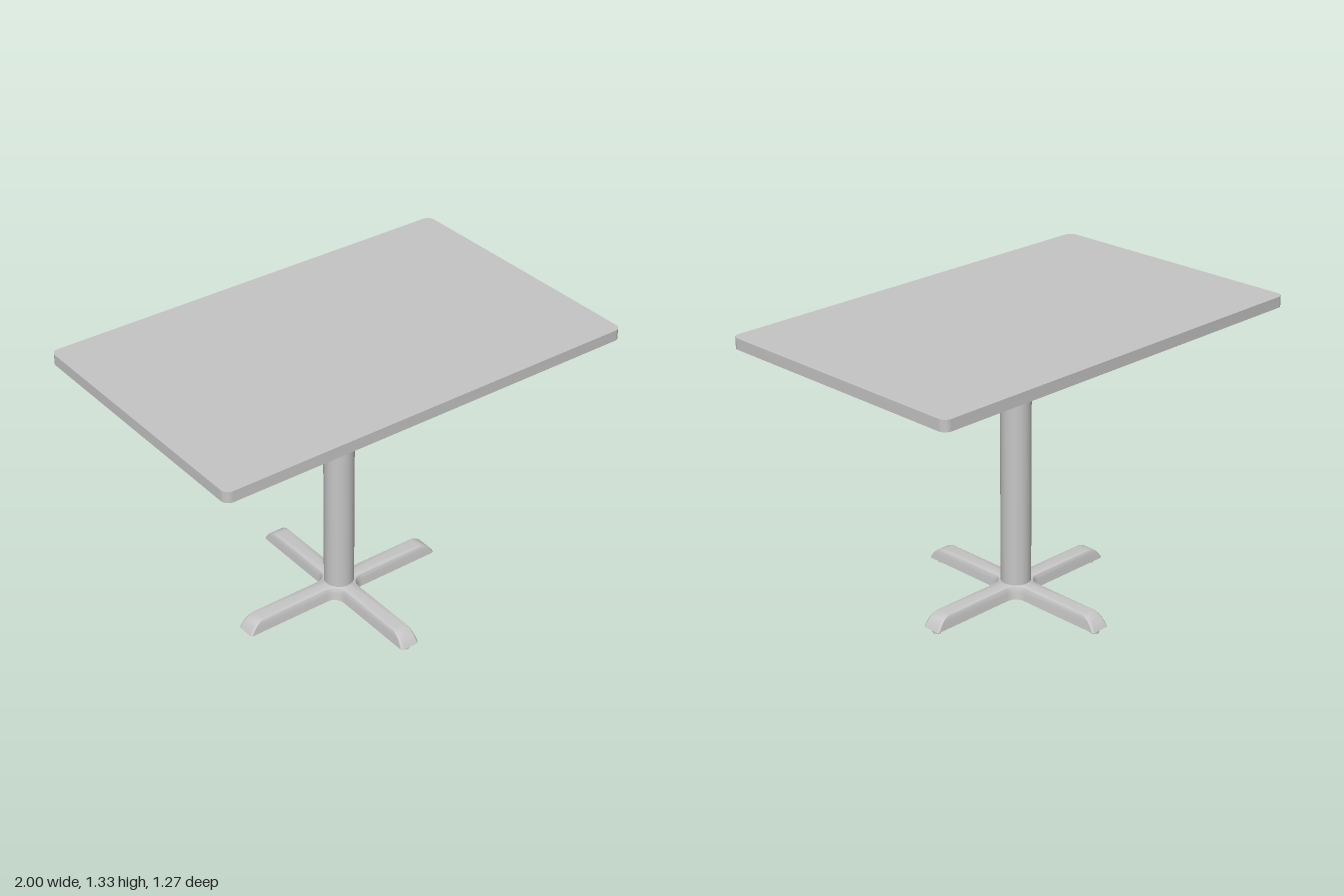
import * as THREE from 'three';
import { toCreasedNormals } from 'three/addons/utils/BufferGeometryUtils.js';

// Rounded rectangle centred on the origin
function roundedRect(halfX, halfY, r, Type = THREE.Shape) {
  const s = new Type();
  s.absarc(halfX - r, halfY - r, r, 0, Math.PI / 2);
  s.absarc(-halfX + r, halfY - r, r, Math.PI / 2, Math.PI);
  s.absarc(-halfX + r, -halfY + r, r, Math.PI, Math.PI * 1.5);
  s.absarc(halfX - r, -halfY + r, r, Math.PI * 1.5, Math.PI * 2);
  s.closePath();
  return s;
}

// Upright slab extruded from a plan shape
function slab(shape, bottom, height) {
  const g = new THREE.ExtrudeGeometry(shape, { depth: height, bevelEnabled: false, curveSegments: 8 });
  g.rotateX(-Math.PI / 2).translate(0, bottom, 0);
  return toCreasedNormals(g, 0.6);
}

// Plan outline of the four-armed base, with filleted inner corners
function crossOutline(length, w, r) {
  const c = 0.008;
  const arm = [[length - c, -w], [length, -w + c], [length, w - c], [length - c, w]];
  for (let i = 0; i <= 8; i++) {
    const a = Math.PI * (1.5 - i / 16);
    arm.push([w + r + r * Math.cos(a), w + r + r * Math.sin(a)]);
  }
  const points = [];
  for (let k = 0; k < 4; k++) {
    for (const [x, y] of arm) {
      points.push([[x, y], [-y, x], [-x, -y], [y, -x]][k]);
    }
  }
  return points;
}

// Stack of cross outlines joined into one closed body
function crossBase() {
  // height, arm length, arm half width
  const levels = [
    [0.025, 0.515, 0.047], [0.032, 0.511, 0.046], [0.047, 0.501, 0.044], [0.06, 0.49, 0.042],
    [0.071, 0.477, 0.04], [0.078, 0.464, 0.038], [0.083, 0.45, 0.035], [0.085, 0.435, 0.031],
  ];
  const rings = levels.map(([h, length, w]) =>
    crossOutline(length, w, 0.097 - w).map(([x, y]) => [x, h, -y]));
  const pos = [];
  const tri = (...corners) => corners.forEach((p) => pos.push(...p));
  const n = rings[0].length;
  const last = rings.length - 1;
  for (let j = 0; j < n; j++) {
    const k = (j + 1) % n;
    for (let i = 0; i < last; i++) {
      tri(rings[i][j], rings[i][k], rings[i + 1][k]);
      tri(rings[i][j], rings[i + 1][k], rings[i + 1][j]);
    }
    tri([0, levels[last][0], 0], rings[last][j], rings[last][k]);
    tri([0, levels[0][0], 0], rings[0][k], rings[0][j]);
  }
  const g = new THREE.BufferGeometry();
  g.setAttribute('position', new THREE.Float32BufferAttribute(pos, 3));
  return toCreasedNormals(g, 0.5);
}

export function createModel() {
  const table = new THREE.Group();
  table.name = 'pedestalTable';
  const grey = new THREE.MeshStandardMaterial({ color: 0xc6c6c6 });
  grey.name = 'light grey';

  const add = (name, geometry) => {
    const mesh = new THREE.Mesh(geometry, grey);
    mesh.name = name;
    table.add(mesh);
    return mesh;
  };

  // Table top: edge band around an inset panel
  const band = roundedRect(1, 0.635, 0.035);
  band.holes.push(roundedRect(0.988, 0.623, 0.024, THREE.Path));
  add('edgeBand', slab(band, 1.275, 0.05));
  add('tabletopPanel', slab(roundedRect(0.988, 0.623, 0.024), 1.275, 0.05));

  // Mounting plate and column
  add('mountingPlate', new THREE.CylinderGeometry(0.153, 0.153, 0.008, 48)).position.y = 1.271;
  add('column', new THREE.CylinderGeometry(0.068, 0.068, 1.187, 48)).position.y = 0.6735;

  // Four-armed base
  add('crossBase', crossBase());

  // Levelling feet under the arm ends
  const footProfile = [
    [0, 0], [0.018, 0], [0.018, 0.006], [0.022, 0.008], [0.022, 0.014],
    [0.016, 0.017], [0.008, 0.018], [0.008, 0.027],
  ].map(([x, y]) => new THREE.Vector2(x, y));
  const foot = toCreasedNormals(new THREE.LatheGeometry(footProfile, 20), 0.5);
  for (let i = 0; i < 4; i++) {
    const a = (i * Math.PI) / 2;
    add('levellingFoot', foot).position.set(0.48 * Math.cos(a), 0, 0.48 * Math.sin(a));
  }
  return table;
}
